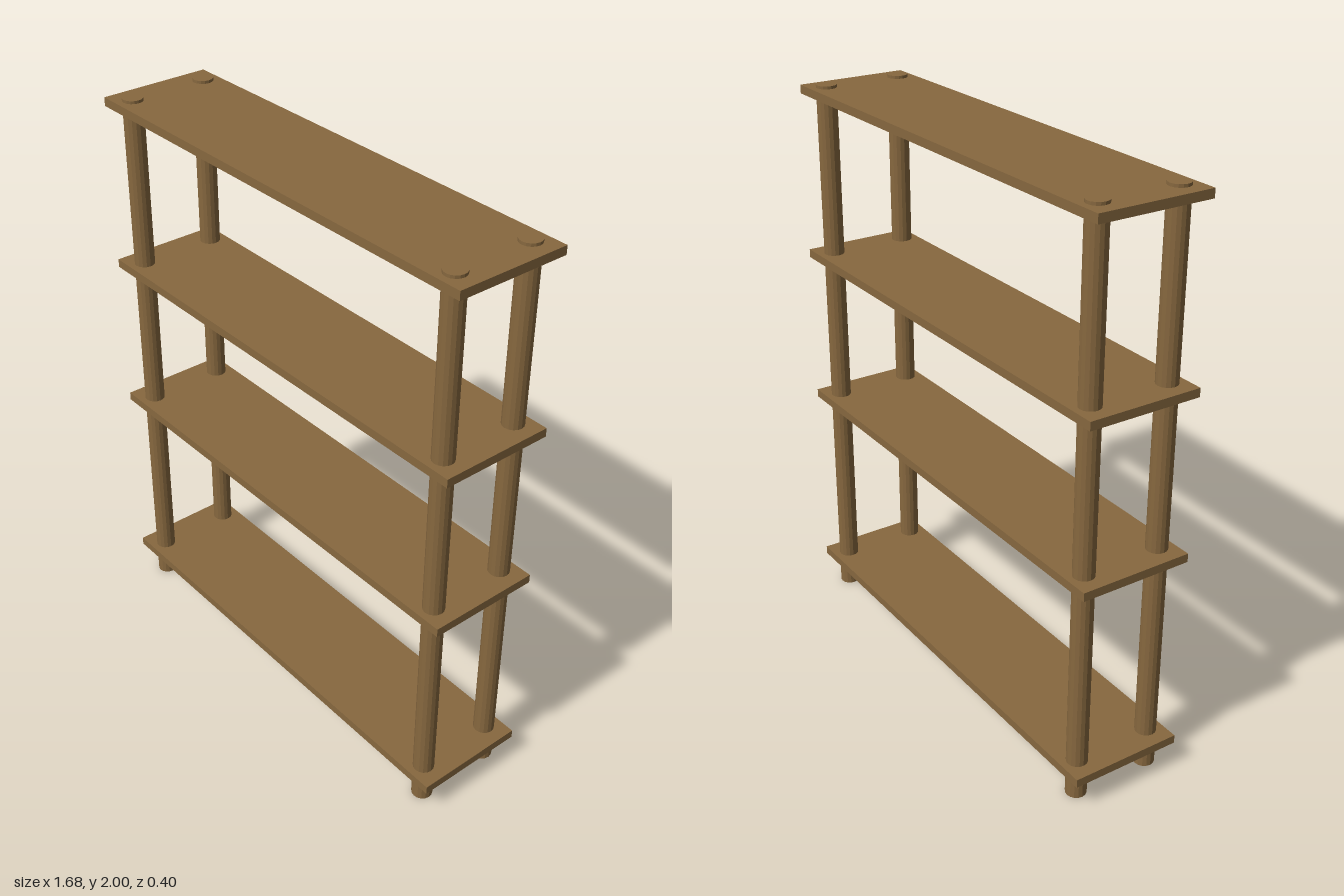
import * as THREE from 'three';

export function createModel() {
  const model = new THREE.Group();
  model.name = 'shelfUnit';

  const wood = new THREE.MeshStandardMaterial({ color: 0x87683f, flatShading: true });
  wood.name = 'brownWood';

  // Four thin boards, placed by the height of their middle
  const boardGeometry = new THREE.BoxGeometry(1.68, 0.03, 0.4);
  [0.112, 0.813, 1.376, 1.975].forEach((y, i) => {
    const shelf = new THREE.Mesh(boardGeometry, wood);
    shelf.name = `shelf${i + 1}`;
    shelf.position.y = y;
    model.add(shelf);
  });

  // Round corner posts running through every board and just above the top one
  const postGeometry = new THREE.CylinderGeometry(0.036, 0.036, 2, 16);
  for (const [side, x] of [['Left', 0.76], ['Right', -0.76]]) {
    for (const [end, z] of [['front', 0.141], ['back', -0.141]]) {
      const post = new THREE.Mesh(postGeometry, wood);
      post.name = `${end}${side}Post`;
      post.position.set(x, 1, z);
      model.add(post);
    }
  }

  return model;
}
